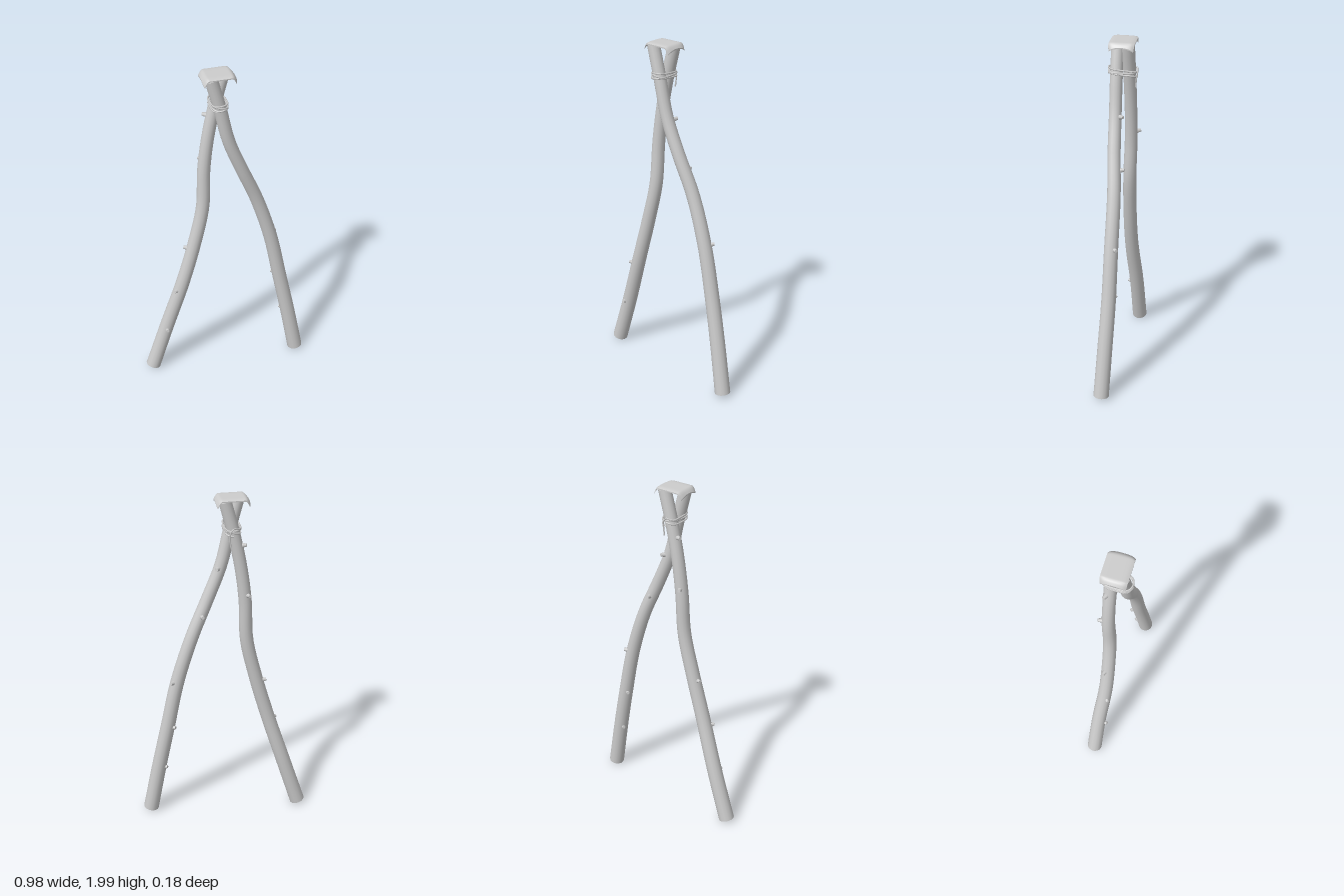
import * as THREE from 'three';

const wood = new THREE.MeshStandardMaterial({ color: 0xcccccc });
wood.name = 'pale grey';
const v = (p) => new THREE.Vector3(...p);

function addMesh(parent, name, geometry) {
  const mesh = new THREE.Mesh(geometry, wood);
  mesh.name = name;
  parent.add(mesh);
  return mesh;
}

// Tapered bent pole with closed ends and small branch stubs
function makePole(name, points, stubs) {
  const group = new THREE.Group();
  group.name = name;
  const curve = new THREE.CatmullRomCurve3(points.map(v));
  const rings = 40, sides = 14, r0 = 0.045, r1 = 0.035;
  const geo = new THREE.TubeGeometry(curve, rings, 1, sides);
  const pos = geo.attributes.position;
  const p = new THREE.Vector3();
  for (let i = 0; i < pos.count; i++) {
    const t = Math.floor(i / (sides + 1)) / rings;
    const c = curve.getPointAt(t);
    p.fromBufferAttribute(pos, i).sub(c).multiplyScalar(r0 + (r1 - r0) * Math.min(1, t * 1.25)).add(c);
    pos.setXYZ(i, p.x, p.y, p.z);
  }
  addMesh(group, name + 'Shaft', geo);
  for (const end of [0, 1]) {
    const cap = addMesh(group, name + 'End', new THREE.CircleGeometry(end ? r1 : r0, sides));
    const dir = curve.getTangentAt(end).multiplyScalar(end ? 1 : -1);
    cap.position.copy(curve.getPointAt(end));
    cap.quaternion.setFromUnitVectors(new THREE.Vector3(0, 0, 1), dir);
  }
  // Stubs: height and outward direction (x, z)
  for (const [y, dx, dz] of stubs) {
    let c = curve.getPointAt(0);
    for (let t = 0; t <= 1; t += 0.005) {
      const q = curve.getPointAt(t);
      if (Math.abs(q.y - y) < Math.abs(c.y - y)) c = q;
    }
    const dir = new THREE.Vector3(dx, 0.15, dz).normalize();
    const stub = addMesh(group, 'branchStub', new THREE.CylinderGeometry(0.009, 0.015, 0.03, 7));
    stub.position.copy(c).addScaledVector(dir, 0.041);
    stub.quaternion.setFromUnitVectors(new THREE.Vector3(0, 1, 0), dir);
  }
  return group;
}

// Rope wound round both poles, with a loose tail at the back
function makeLashing() {
  const group = new THREE.Group();
  group.name = 'lashing';
  const turns = 4, steps = 24, pts = [];
  for (let i = 0; i <= turns * steps; i++) {
    const a = (i / steps) * Math.PI * 2 - Math.PI / 2;
    const c = Math.cos(a), s = Math.sin(a);
    pts.push(new THREE.Vector3(
      -0.038 + 0.043 * c,
      1.807 + 0.036 * i / (turns * steps) + 0.007 * Math.sin(a + i / steps * 2),
      0.037 * Math.tanh(4 * s) + 0.041 * s));
  }
  addMesh(group, 'ropeTurns', new THREE.TubeGeometry(new THREE.CatmullRomCurve3(pts), 240, 0.0045, 6));
  const tail = [[-0.038, 1.843, -0.078], [-0.022, 1.825, -0.08], [-0.018, 1.78, -0.074], [-0.022, 1.74, -0.072]];
  addMesh(group, 'ropeTail', new THREE.TubeGeometry(new THREE.CatmullRomCurve3(tail.map(v)), 14, 0.004, 6));
  return group;
}

// Thin cap with rounded corners and drooping side edges
function makeCap() {
  const geo = new THREE.BoxGeometry(0.18, 0.006, 0.14, 24, 1, 16);
  const pos = geo.attributes.position;
  for (let i = 0; i < pos.count; i++) {
    const u = pos.getX(i) / 0.09, w = pos.getZ(i) / 0.07;
    const x = 0.09 * u * (1 - 0.06 * w ** 8);
    const z = 0.07 * w * (1 - 0.06 * u ** 8);
    const fold = Math.max(0, (Math.abs(u) - 0.7) / 0.3);
    const drop = fold ** 2 * (0.02 + 0.014 * w * w) + 0.006 * w ** 6;
    pos.setXYZ(i, x, pos.getY(i) - drop, z);
  }
  geo.computeVertexNormals();
  return geo;
}

export function createModel() {
  const model = new THREE.Group();
  model.name = 'lashedPoles';
  model.add(makePole('rightPole',
    [[-0.447, 0.022, -0.037], [-0.35, 0.33, -0.032], [-0.25, 0.65, -0.016], [-0.175, 0.92, -0.017],
      [-0.122, 1.16, -0.024], [-0.11, 1.4, -0.033], [-0.085, 1.6, -0.035], [-0.042, 1.81, -0.035], [0.004, 1.985, -0.035]],
    [[0.31, -0.1, 1], [0.6, -0.8, 0.6], [0.88, -1, -0.3], [1.44, -0.4, -1], [1.73, -1, -0.4]]));
  model.add(makePole('leftPole',
    [[0.445, 0.022, 0.042], [0.39, 0.32, 0.028], [0.333, 0.6, 0.016], [0.27, 0.9, 0.012], [0.182, 1.18, 0.012],
      [0.09, 1.4, 0.027], [0.012, 1.6, 0.034], [-0.037, 1.81, 0.036], [-0.083, 1.985, 0.035]],
    [[0.32, -0.9, -0.6], [0.6, -0.8, -0.7], [0.9, 0.8, -0.7], [1.31, -0.1, -1], [1.58, 0.5, -0.9]]));
  model.add(makeLashing());
  addMesh(model, 'topCap', makeCap()).position.set(-0.039, 1.996, -0.002);
  return model;
}
